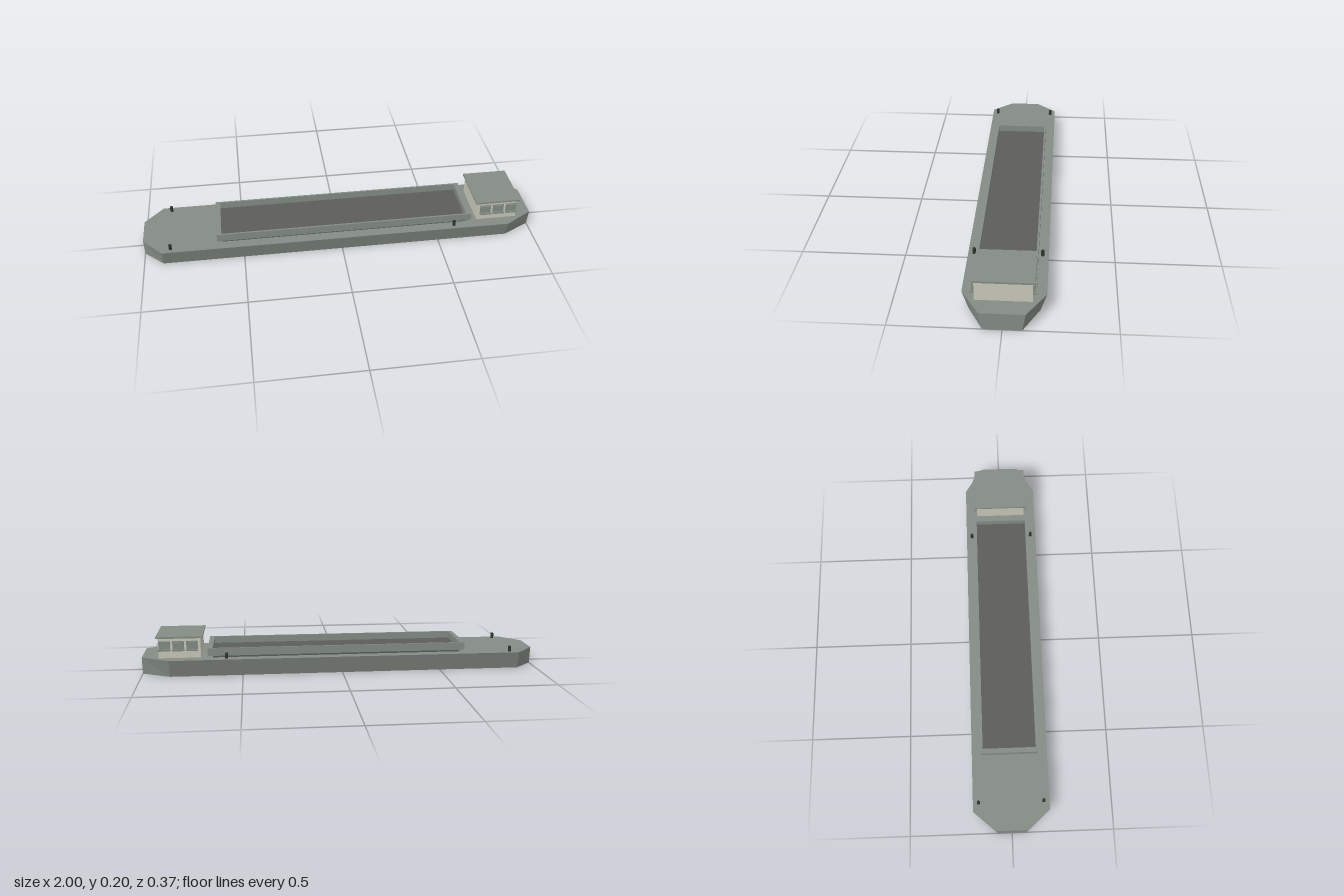
import * as THREE from 'three';

const mat = (name, color) => {
  const m = new THREE.MeshStandardMaterial({ color });
  m.name = name;
  return m;
};

export function createModel() {
  const grey = mat('greenish grey', 0x848c84);
  const cream = mat('cream', 0xc8c8ba);
  const dark = mat('hold grey', 0x5c5c58);
  const black = mat('dark iron', 0x2f3432);

  const ship = new THREE.Group();
  ship.name = 'cargoBarge';

  const add = (name, geometry, material, parent = ship) => {
    const m = new THREE.Mesh(geometry, material);
    m.name = name;
    parent.add(m);
    return m;
  };
  // box given by its limits on each axis
  const box = (name, material, x0, x1, y0, y1, z0, z1, parent) => {
    const m = add(name, new THREE.BoxGeometry(x1 - x0, y1 - y0, z1 - z0), material, parent);
    m.position.set((x0 + x1) / 2, (y0 + y1) / 2, (z0 + z1) / 2);
    return m;
  };

  // hull: eight-sided deck plan, narrowing towards the flat bottom
  const deck = 0.087;
  const half = [[-1, 0.08], [-0.905, 0.187], [0.86, 0.187], [1, 0.1]];
  const outline = [...half.map(([x, z]) => [x, -z]), ...half.slice().reverse()];
  const plan = new THREE.Shape(outline.map(([x, z]) => new THREE.Vector2(x, z)));
  const hull = new THREE.ExtrudeGeometry(plan, { depth: deck, bevelEnabled: false });
  hull.rotateX(-Math.PI / 2);
  const p = hull.attributes.position;
  for (let i = 0; i < p.count; i++) {
    if (p.getY(i) < deck / 2) p.setZ(i, p.getZ(i) * 0.855);
  }
  hull.computeVertexNormals();
  add('hull', hull, grey);

  // cargo hold: dark floor plate with a raised coaming around it
  box('holdFloor', dark, -0.606, 0.647, deck, 0.1, -0.134, 0.134);
  const coaming = new THREE.Group();
  coaming.name = 'holdCoaming';
  ship.add(coaming);
  for (const s of [-1, 1]) {
    const z = [s * 0.131, s * 0.14].sort((a, b) => a - b);
    box('coamingSide', grey, -0.63, 0.672, 0.096, 0.135, z[0], z[1], coaming);
  }
  box('coamingFore', grey, -0.63, -0.606, 0.096, 0.135, -0.131, 0.131, coaming);
  box('coamingAft', grey, 0.647, 0.672, 0.096, 0.135, -0.131, 0.131, coaming);

  // wheelhouse with an overhanging roof
  const house = new THREE.Group();
  house.name = 'wheelhouse';
  ship.add(house);
  box('houseWalls', cream, 0.706, 0.914, deck, 0.188, -0.127, 0.127, house);
  box('houseRoof', grey, 0.695, 0.925, 0.187, 0.196, -0.135, 0.135, house);

  // three windows on each side: backing frame, pane and sill
  for (const s of [-1, 1]) {
    for (const x of [0.748, 0.816, 0.884]) {
      const w = new THREE.Group();
      w.name = 'window';
      w.position.set(x, 0, s * 0.127);
      if (s < 0) w.rotation.y = Math.PI;
      house.add(w);
      box('windowFrame', grey, -0.028, 0.028, 0.125, 0.173, 0, 0.004, w);
      box('windowPane', grey, -0.024, 0.024, 0.13, 0.169, 0.004, 0.01, w);
      box('windowSill', grey, -0.029, 0.029, 0.125, 0.133, 0, 0.018, w);
    }
  }

  // mooring bollards
  const post = new THREE.CylinderGeometry(0.008, 0.008, 0.027, 10);
  for (const x of [-0.862, 0.579]) {
    for (const z of [-0.159, 0.159]) {
      add('bollard', post, black).position.set(x, deck + 0.0135, z);
    }
  }
  return ship;
}
